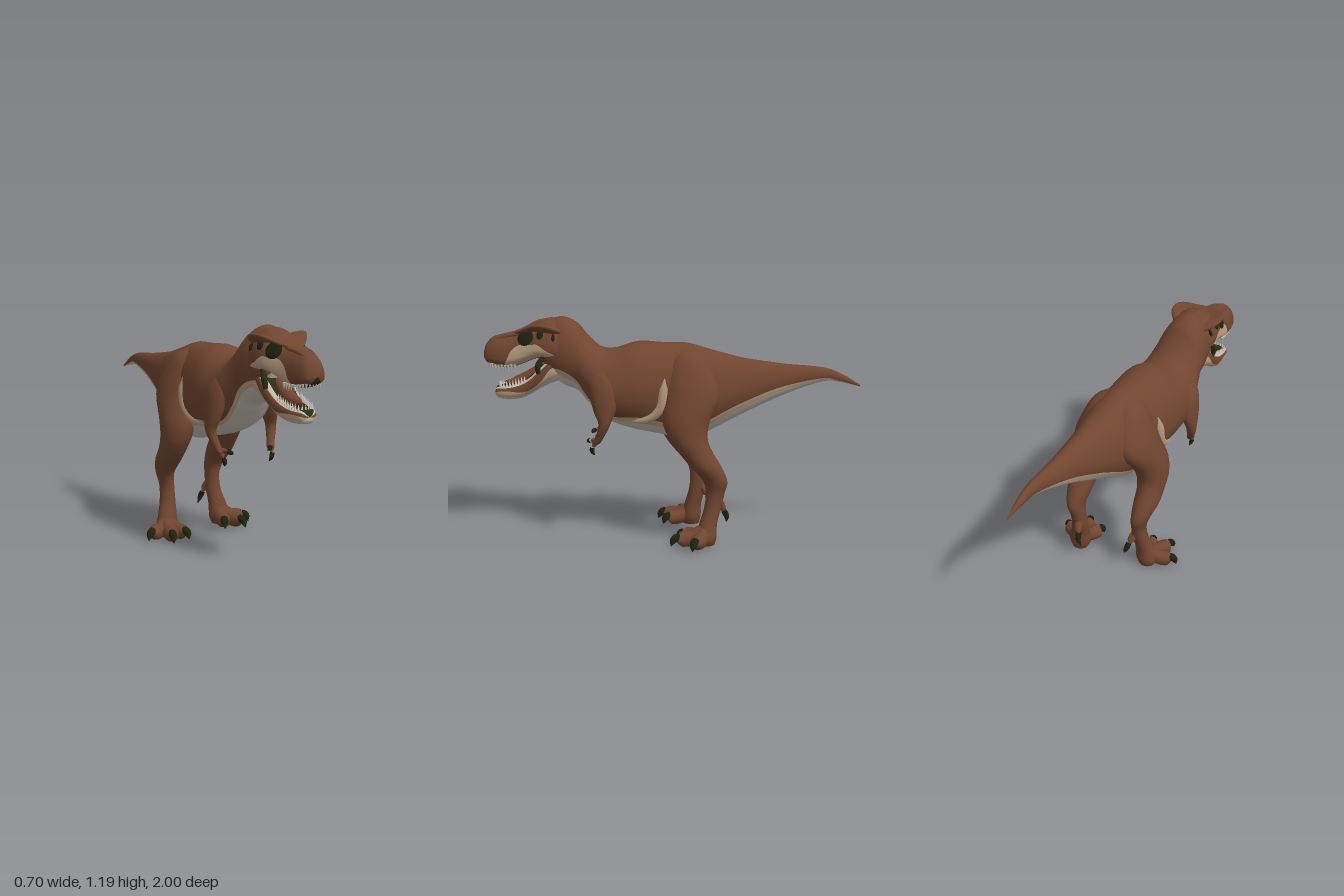
import * as THREE from 'three';

const material = (name, color) => {
  const m = new THREE.MeshStandardMaterial({ color });
  m.name = name;
  return m;
};

// Smoothly resample a short table of control rows, column by column
function spline(rows, n) {
  const curves = rows[0].map((_, c) => new THREE.CatmullRomCurve3(
    rows.map(r => new THREE.Vector3(r[c], 0, 0)), false, 'catmullrom'));
  return Array.from({ length: n + 1 }, (_, i) => curves.map(k => k.getPoint(i / n).x));
}

// Closed skin over rings of points, one material per column of faces
function skin(name, rings, columnMats) {
  const m = rings[0].length, last = rings.length - 1;
  const pos = rings.flat(2);
  const centre = ring => [0, 1, 2].map(k => ring.reduce((s, p) => s + p[k], 0) / m);
  pos.push(...centre(rings[0]), ...centre(rings[last]));
  const head = rings.length * m, tail = head + 1;
  const mats = [...new Set(columnMats)], index = [];
  const g = new THREE.BufferGeometry();
  mats.forEach((mat, mi) => {
    const start = index.length;
    for (let j = 0; j < m; j++) {
      if (columnMats[j] !== mat) continue;
      const k = (j + 1) % m;
      index.push(j, k, head, last * m + j, tail, last * m + k);
      for (let i = 0; i < last; i++) {
        const a = i * m + j, b = a + m, c = i * m + k, d = c + m;
        index.push(a, b, c, b, d, c);
      }
    }
    g.addGroup(start, index.length - start, mi);
  });
  g.setAttribute('position', new THREE.Float32BufferAttribute(pos, 3));
  g.setIndex(index);
  g.computeVertexNormals();
  const mesh = new THREE.Mesh(g, mats);
  mesh.name = name;
  return mesh;
}

// Trunk-like part along z: rows [z, top, bottom, halfWidth, bandAngle];
// bands [material, columns, endAngle(bandAngle)] run from the underside to the top;
// lift raises points by their distance from the middle
function trunk(name, rows, n, bands, { widest = 0.45, power = 1, lift = 0 } = {}) {
  const shape = v => Math.sign(v) * Math.abs(v) ** power;
  const half = bands.flatMap(([mat, count]) => Array(count).fill(mat));
  const rings = spline(rows, n).map(([z, top, bot, w, b]) => {
    const angles = [0];
    let from = 0;
    for (const [, count, end] of bands) {
      const to = Math.max(from, end(b));
      for (let i = 1; i <= count; i++) angles.push(from + (to - from) * i / count);
      from = to;
    }
    const full = [...angles, ...angles.slice(1, -1).reverse().map(a => 2 * Math.PI - a)];
    const mid = bot + (top - bot) * widest;
    return full.map(a => {
      const c = shape(Math.cos(a)), x = w * shape(Math.sin(a));
      return [x, mid - c * (c > 0 ? mid - bot : top - mid) + lift * x * x, z];
    });
  });
  return skin(name, rings, [...half, ...half.slice().reverse()]);
}

// Limb going downwards: rows [x, y, z, radiusX, radiusZ]
function limb(name, rows, n, mat, s, shift = () => 0) {
  const sides = 20;
  const rings = spline(rows, n).map(([x, y, z, rx, rz]) =>
    Array.from({ length: sides }, (_, j) => {
      const a = j / sides * Math.PI * 2;
      return [s * x + rx * Math.cos(a), y, z + shift(y) - rz * Math.sin(a)];
    }));
  return skin(name, rings, Array(sides).fill(mat));
}

// Tapered tube through points, with radii spread evenly along it
function taper(name, points, radii, mat, s = 1, dz = 0) {
  const curve = new THREE.CatmullRomCurve3(
    points.map(([x, y, z]) => new THREE.Vector3(s * x, y, z + dz)));
  const seg = 16, sides = 10;
  const g = new THREE.TubeGeometry(curve, seg, 1, sides);
  const p = g.attributes.position, nor = g.attributes.normal;
  for (let v = 0; v < p.count; v++) {
    const t = Math.floor(v / (sides + 1)) / seg * (radii.length - 1);
    const k = Math.min(Math.floor(t), radii.length - 2);
    const r = THREE.MathUtils.lerp(radii[k], radii[k + 1], t - k) - 1;
    p.setXYZ(v, p.getX(v) + nor.getX(v) * r, p.getY(v) + nor.getY(v) * r, p.getZ(v) + nor.getZ(v) * r);
  }
  const mesh = new THREE.Mesh(g, mat);
  mesh.name = name;
  return mesh;
}

export function createModel() {
  const model = new THREE.Group();
  model.name = 'dinosaur';
  const brown = material('brown hide', 0x714630), tan = material('tan hide', 0xbda184);
  const pale = material('pale belly', 0xc4bcb2), dark = material('dark claw', 0x1f210f);
  const mouth = material('mouth lining', 0x2a2c14), ivory = material('ivory teeth', 0xcfc8bc);
  const flesh = material('tongue', 0x74432f);
  const PI = () => Math.PI;

  // Neck, torso and tail in one skin
  model.add(trunk('body', [
    [0.70, 1.10, 0.98, 0.05, 0.7], [0.66, 1.165, 0.90, 0.10, 0.9], [0.58, 1.195, 0.835, 0.125, 1.1],
    [0.50, 1.16, 0.80, 0.137, 1.0], [0.45, 1.10, 0.745, 0.152, 0.85], [0.38, 1.038, 0.67, 0.177, 0.75],
    [0.30, 1.03, 0.625, 0.19, 0.82], [0.18, 1.065, 0.59, 0.195, 0.98], [0.05, 1.06, 0.565, 0.183, 0.95],
    [-0.08, 1.058, 0.535, 0.16, 0.9], [-0.2, 1.025, 0.585, 0.155, 0.95], [-0.3, 0.998, 0.638, 0.128, 1.05],
    [-0.4, 0.975, 0.69, 0.1, 1.15], [-0.6, 0.948, 0.785, 0.058, 1.3], [-0.8, 0.93, 0.855, 0.03, 1.2],
    [-0.9, 0.895, 0.85, 0.018, 1.0], [-0.998, 0.838, 0.828, 0.003, 0.8],
  ], 90, [[pale, 6, b => b * 0.8], [tan, 3, b => b], [brown, 12, PI]]));

  // Head: skull with tan cheeks, flared brow, and the open lower jaw
  model.add(trunk('skull', [
    [1.0, 1.01, 0.975, 0.02, 0.5], [0.985, 1.05, 0.95, 0.05, 0.5], [0.95, 1.085, 0.934, 0.066, 0.5],
    [0.90, 1.10, 0.923, 0.076, 0.6], [0.86, 1.11, 0.922, 0.08, 1.7], [0.80, 1.118, 0.94, 0.091, 2.05],
    [0.74, 1.145, 0.965, 0.107, 1.85], [0.70, 1.17, 0.975, 0.118, 1.75], [0.64, 1.188, 0.965, 0.125, 1.45],
    [0.58, 1.17, 0.96, 0.115, 1.1], [0.54, 1.12, 1.0, 0.06, 0.8],
  ], 44, [[mouth, 4, () => 0.5], [tan, 6, b => b], [brown, 10, PI]], { widest: 0.28, power: 0.95 }));
  model.add(trunk('brow', [
    [0.84, 1.112, 1.095, 0.03], [0.785, 1.13, 1.103, 0.085], [0.73, 1.145, 1.11, 0.13], [0.67, 1.147, 1.10, 0.152],
    [0.615, 1.14, 1.09, 0.138], [0.56, 1.125, 1.09, 0.08],
  ], 24, [[brown, 14, PI]], { power: 0.8, lift: 1.6 }));
  model.add(trunk('lowerJaw', [
    [0.945, 0.80, 0.775, 0.02, 1.5], [0.93, 0.822, 0.757, 0.048, 1.6], [0.88, 0.83, 0.75, 0.065, 1.65],
    [0.82, 0.845, 0.752, 0.075, 1.5], [0.76, 0.875, 0.775, 0.085, 1.2], [0.70, 0.93, 0.81, 0.095, 1.2],
    [0.64, 0.985, 0.84, 0.10, 1.6], [0.57, 1.0, 0.86, 0.09, 1.7],
  ], 30, [[pale, 3, b => b * 0.65], [tan, 3, b => b], [brown, 4, () => 2.1], [pale, 2, () => 2.5], [mouth, 3, PI]],
  { widest: 0.55, power: 0.8 }));
  model.add(taper('tongue', [[0, 0.93, 0.66], [0, 0.87, 0.76], [0, 0.842, 0.84], [0, 0.845, 0.90]],
    [0.03, 0.038, 0.036, 0.03, 0], flesh));

  // Teeth along both jaw rims
  const toothShape = new THREE.ConeGeometry(0.008, 0.036, 6);
  const teeth = (name, rim, dir, s) => {
    const curve = new THREE.CatmullRomCurve3(rim.map(p => new THREE.Vector3(...p)));
    const row = new THREE.Group();
    row.name = name;
    for (let i = 0; i < 11; i++) {
      const tooth = new THREE.Mesh(toothShape, ivory);
      tooth.name = 'tooth';
      tooth.position.copy(curve.getPointAt((i + 0.5) / 11));
      tooth.position.x *= s;
      if (dir < 0) tooth.rotation.x = Math.PI;
      row.add(tooth);
    }
    model.add(row);
  };

  // Flat dark openings on the side of the head
  const patch = (name, at, normal, size, s) => {
    const mesh = new THREE.Mesh(new THREE.SphereGeometry(1, 18, 12), dark);
    mesh.name = name;
    mesh.scale.set(size[0], size[1], 0.009);
    mesh.position.set(s * at[0], at[1], at[2]);
    mesh.lookAt(s * (at[0] + normal[0]), at[1] + normal[1], at[2] + normal[2]);
    model.add(mesh);
  };

  for (const s of [1, -1]) {
    const side = s > 0 ? 'left' : 'right';

    teeth(side + 'UpperTeeth', [[0, 0.95, 0.982], [0.042, 0.934, 0.962], [0.06, 0.925, 0.90], [0.07, 0.928, 0.82]], -1, s);
    teeth(side + 'LowerTeeth', [[0, 0.828, 0.925], [0.043, 0.832, 0.905], [0.054, 0.842, 0.85], [0.066, 0.872, 0.77]], 1, s);
    patch(side + 'CheekOpening', [0.086, 1.09, 0.765], [1, 0.5, 0.4], [0.046, 0.044], s);
    patch(side + 'Eye', [0.11, 1.108, 0.685], [1, 0.45, 0.25], [0.018, 0.024], s);
    patch(side + 'EarOpening', [0.116, 1.095, 0.615], [1, 0.45, 0], [0.009, 0.02], s);
    model.add(taper(side + 'JawMuscle', [[0.085, 0.995, 0.67], [0.094, 0.945, 0.70], [0.086, 0.90, 0.70]],
      [0.012, 0.016, 0.012], mouth, s));

    // Low ridge along the snout
    model.add(taper(side + 'SnoutRidge', [[0.02, 1.062, 0.965], [0.03, 1.08, 0.92], [0.035, 1.094, 0.86], [0.048, 1.106, 0.79]],
      [0, 0.01, 0.012, 0.012, 0], brown, s));

    // Pale fold of skin in front of the thigh
    model.add(taper(side + 'FlankFold', [[0.157, 0.91, 0.03], [0.166, 0.82, 0.04], [0.158, 0.74, 0.055], [0.143, 0.685, 0.11], [0.126, 0.66, 0.24]],
      [0, 0.026, 0.032, 0.032, 0.026, 0], tan, s));

    // Arm with two clawed fingers
    model.add(limb(side + 'Arm', [
      [0.10, 0.96, 0.36, 0.01, 0.01], [0.12, 0.92, 0.36, 0.04, 0.06], [0.142, 0.85, 0.35, 0.055, 0.08],
      [0.16, 0.77, 0.345, 0.047, 0.072], [0.172, 0.71, 0.345, 0.036, 0.055], [0.18, 0.66, 0.345, 0.028, 0.034],
      [0.175, 0.62, 0.355, 0.025, 0.027], [0.16, 0.57, 0.377, 0.02, 0.022], [0.15, 0.545, 0.392, 0.02, 0.022],
      [0.148, 0.53, 0.397, 0.006, 0.006],
    ], 40, brown, s));
    const fingers = [[[0.15, 0.55, 0.39], [0.146, 0.52, 0.415], [0.135, 0.472, 0.402]],
      [[0.15, 0.555, 0.39], [0.128, 0.553, 0.425], [0.10, 0.538, 0.435]]];
    fingers.forEach(([root, knuckle, tip]) => {
      model.add(taper(side + 'Finger', [root, knuckle], [0.015, 0.014, 0.013, 0], brown, s));
      const bend = knuckle.map((v, i) => (v + tip[i]) / 2 + (i === 2 ? 0.008 : 0));
      model.add(taper(side + 'FingerClaw', [knuckle, bend, tip], [0.011, 0.013, 0.009, 0], dark, s));
    });

    // Leg; the right one stands a little further forward
    const step = s > 0 ? 0 : 0.09;
    const shift = y => step * THREE.MathUtils.smoothstep(0.85 - y, 0, 0.4);
    model.add(limb(side + 'Leg', [
      [0.05, 1.03, -0.08, 0.02, 0.03], [0.075, 0.985, -0.09, 0.068, 0.09], [0.11, 0.88, -0.105, 0.085, 0.135],
      [0.138, 0.78, -0.105, 0.088, 0.147], [0.163, 0.66, -0.08, 0.086, 0.122], [0.175, 0.57, -0.095, 0.08, 0.10],
      [0.182, 0.50, -0.135, 0.07, 0.09], [0.185, 0.43, -0.185, 0.066, 0.082], [0.18, 0.35, -0.235, 0.047, 0.064],
      [0.17, 0.28, -0.235, 0.038, 0.05], [0.172, 0.20, -0.222, 0.042, 0.045], [0.185, 0.12, -0.20, 0.052, 0.047],
      [0.195, 0.05, -0.19, 0.062, 0.055], [0.195, 0.008, -0.19, 0.045, 0.045],
    ], 60, brown, s, shift));

    // Three spread toes, each ending in a claw
    for (const [x, z] of [[0.152, -0.07], [0.24, -0.045], [0.31, -0.135]]) {
      const root = new THREE.Vector3(0.195, 0.07, -0.19), end = new THREE.Vector3(x, 0.042, z);
      const at = (t, y) => { const p = root.clone().lerp(end, t); return [p.x, y, p.z]; };
      model.add(taper(side + 'Toe', [at(0, 0.08), at(0.5, 0.05), at(0.8, 0.046), at(1.15, 0.042)],
        [0.047, 0.043, 0.039, 0.043, 0.041, 0], brown, s, step));
      model.add(taper(side + 'ToeClaw', [at(0.95, 0.06), at(1.16, 0.048), at(1.28, 0.012)],
        [0.02, 0.022, 0.016, 0.002], dark, s, step));
    }

    // Small raised rear toe
    model.add(taper(side + 'RearToe', [[0.165, 0.25, -0.235], [0.147, 0.205, -0.27], [0.135, 0.165, -0.285]],
      [0.022, 0.024, 0.02, 0], brown, s, step));
    model.add(taper(side + 'RearClaw', [[0.137, 0.18, -0.28], [0.13, 0.145, -0.297], [0.113, 0.105, -0.296]],
      [0.014, 0.016, 0.011, 0], dark, s, step));
  }
  return model;
}
